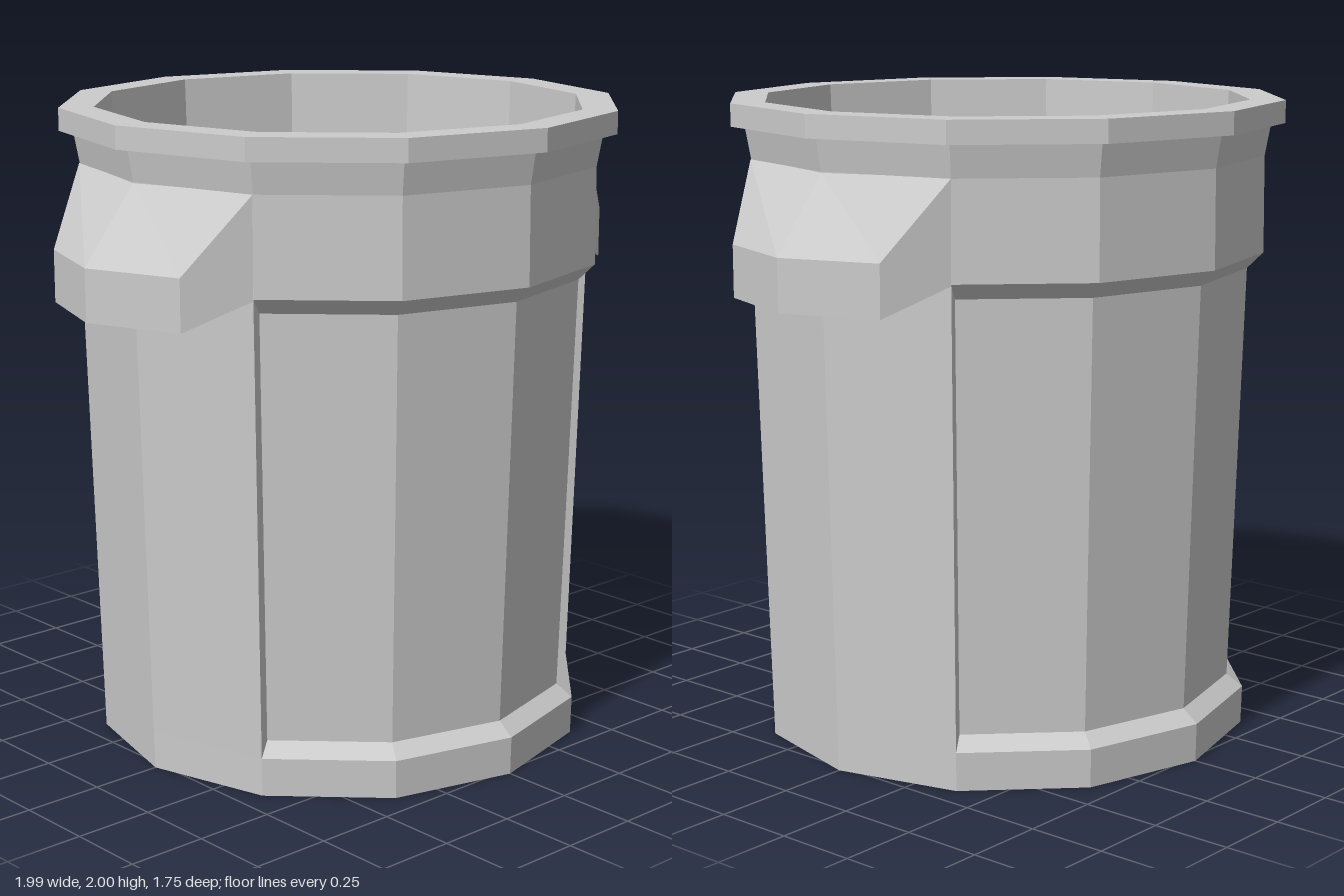
import * as THREE from 'three';

const SIDES = 12;
const material = new THREE.MeshStandardMaterial({
  color: 0xcccccc, flatShading: true, side: THREE.DoubleSide,
});

function createMesh(name, geometry) {
  const mesh = new THREE.Mesh(geometry, material);
  mesh.name = name;
  return mesh;
}

// Turned surface over a range of facets, angle 0 facing +z
function turned(name, profile, firstFacet = 0, facets = SIDES) {
  const step = (Math.PI * 2) / SIDES;
  const points = profile.map(([r, y]) => new THREE.Vector2(r, y));
  return createMesh(name, new THREE.LatheGeometry(points, facets, firstFacet * step, facets * step));
}

// Skin a list of equal closed cross-sections, with quad caps at both ends
function skin(sections) {
  const n = sections[0].length;
  const index = [];
  for (let s = 0; s < sections.length - 1; s++) {
    for (let i = 0; i < n; i++) {
      const a = s * n + i, b = s * n + (i + 1) % n;
      index.push(a, b, b + n, a, b + n, a + n);
    }
  }
  const e = (sections.length - 1) * n;
  index.push(0, 2, 1, 0, 3, 2, e, e + 1, e + 2, e, e + 2, e + 3);
  const geometry = new THREE.BufferGeometry();
  geometry.setAttribute('position', new THREE.Float32BufferAttribute(sections.flat(2), 3));
  geometry.setIndex(index);
  geometry.computeVertexNormals();
  return geometry;
}

export function createModel() {
  const bin = new THREE.Group();
  bin.name = 'bin';

  const plain = [[0.778, 0.12], [0.815, 1.53]];
  const recess = [[0.778, 0.12], [0.727, 0.16], [0.765, 1.48], [0.815, 1.53]];

  // Base, collar, rim and hollow inside
  bin.add(turned('base', [[0, 0], [0.775, 0], [0.778, 0.12]]));
  bin.add(turned('collar', [[0.815, 1.53], [0.812, 1.83], [0.83, 1.93]]));
  bin.add(turned('rim', [[0.83, 1.93], [0.873, 1.93], [0.873, 2], [0.765, 2]]));
  bin.add(turned('interior', [[0.765, 2], [0.705, 0.05], [0, 0.05]]));

  // Plain walls behind the handles, recessed panels front and back
  bin.add(turned('leftWall', plain, 2, 2));
  bin.add(turned('rightWall', plain, 8, 2));
  bin.add(turned('frontPanel', recess, -2, 4));
  bin.add(turned('backPanel', recess, 4, 4));

  // Radial end faces of the recesses
  for (const facet of [2, 4, 8, 10]) {
    const shape = new THREE.Shape(recess.map(([r, y]) => new THREE.Vector2(r, y)));
    const edge = createMesh('panelEdge', new THREE.ShapeGeometry(shape));
    edge.rotation.y = (facet * Math.PI * 2) / SIDES - Math.PI / 2;
    bin.add(edge);
  }

  // Handles: wall top, outer top, outer bottom, wall bottom per section
  const section = (wallX, wallZ, outX, outZ) => [
    [wallX, 1.83, wallZ], [outX, 1.6, outZ], [outX, 1.44, outZ], [wallX, 1.525, wallZ],
  ];
  const handle = skin([
    section(0.705, 0.407, 0.885, 0.3),
    section(0.81, 0, 0.993, 0),
    section(0.705, -0.407, 0.885, -0.3),
  ]);
  const left = createMesh('leftHandle', handle);
  const right = createMesh('rightHandle', handle);
  right.rotation.y = Math.PI;
  bin.add(left, right);

  return bin;
}
